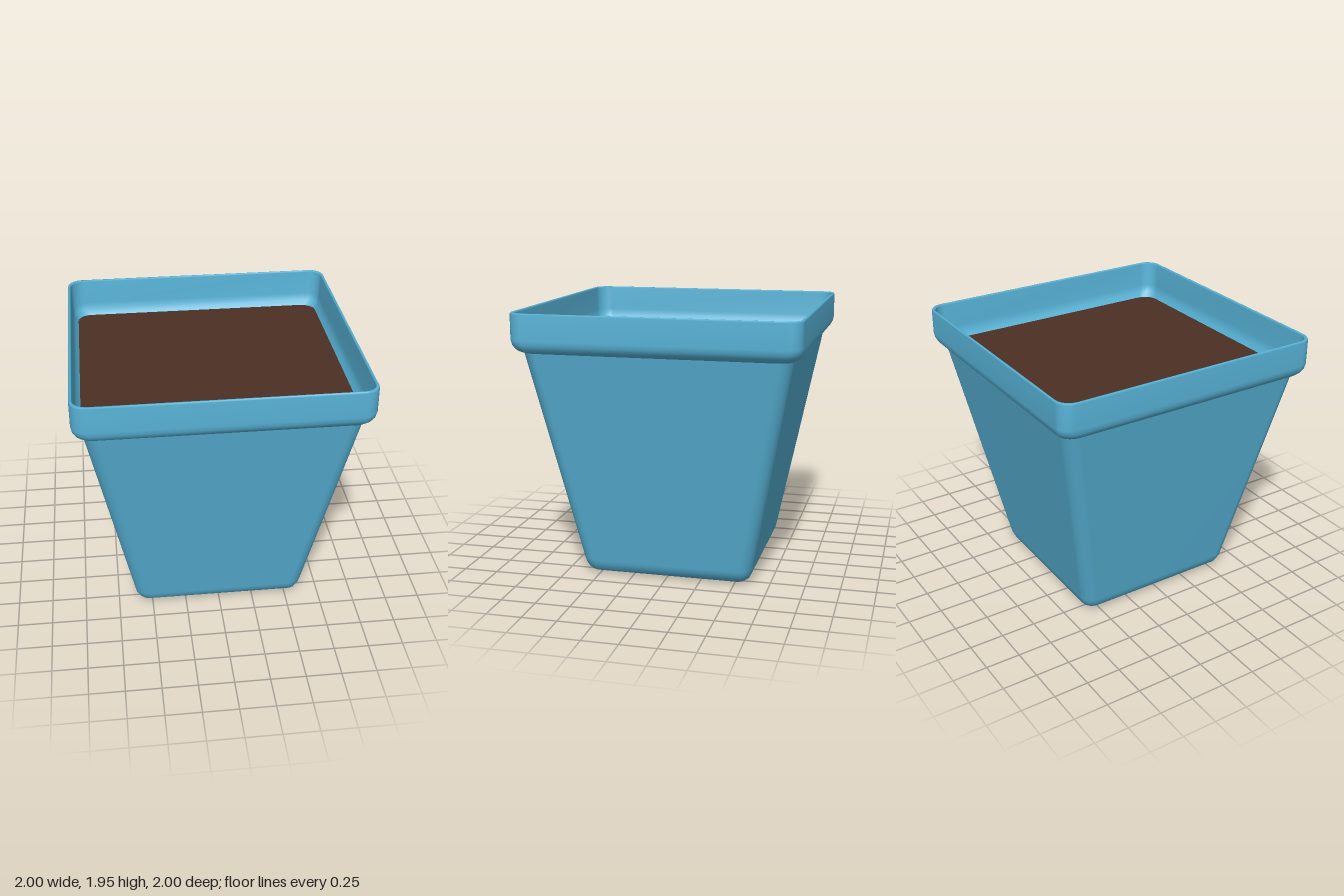
import * as THREE from 'three';

const CORNER_STEPS = 5;

// Points of a rounded square, going round from +x towards +z
function roundedSquare(half, radius) {
  const points = [];
  for (let c = 0; c < 4; c++) {
    const middle = Math.PI / 4 + c * Math.PI / 2;
    const cx = Math.sign(Math.cos(middle)) * (half - radius);
    const cz = Math.sign(Math.sin(middle)) * (half - radius);
    for (let i = 0; i <= CORNER_STEPS; i++) {
      const a = (c + i / CORNER_STEPS) * Math.PI / 2;
      points.push([cx + radius * Math.cos(a), cz + radius * Math.sin(a)]);
    }
  }
  return points;
}

// Skin a stack of rounded squares, each given as [half width, y, corner radius]
function loft(name, profile, material) {
  const positions = [];
  const index = [];
  const n = 4 * (CORNER_STEPS + 1);
  profile.forEach(([half, y, radius], k) => {
    for (const [x, z] of roundedSquare(half, radius)) positions.push(x, y, z);
    if (k === 0) return;
    for (let i = 0; i < n; i++) {
      const a = (k - 1) * n + i;
      const b = (k - 1) * n + (i + 1) % n;
      index.push(a, a + n, b, b, a + n, b + n);
    }
  });
  const geometry = new THREE.BufferGeometry();
  geometry.setAttribute('position', new THREE.Float32BufferAttribute(positions, 3));
  geometry.setIndex(index);
  geometry.computeVertexNormals();
  const mesh = new THREE.Mesh(geometry, material);
  mesh.name = name;
  return mesh;
}

export function createModel() {
  const glaze = new THREE.MeshStandardMaterial({ color: 0x57b2d6, side: THREE.DoubleSide });
  const earth = new THREE.MeshStandardMaterial({ color: 0x4c2f23, side: THREE.DoubleSide });
  const group = new THREE.Group();
  group.name = 'planter';

  // Tapered body with a rounded foot
  group.add(loft('body', [
    [0, 0, 0],
    [0.53, 0, 0.03],
    [0.57, 0.015, 0.06],
    [0.6, 0.04, 0.08],
    [0.62, 0.08, 0.09],
    [0.628, 0.11, 0.095],
    [0.932, 1.67, 0.1],
  ], glaze));

  // Thin collar: rounded underside, upright wall, lip and inner face
  group.add(loft('rim', [
    [0.935, 1.667, 0.1],
    [0.96, 1.68, 0.1],
    [0.98, 1.7, 0.1],
    [0.993, 1.725, 0.1],
    [1, 1.76, 0.1],
    [1, 1.935, 0.1],
    [0.995, 1.945, 0.1],
    [0.984, 1.945, 0.1],
    [0.978, 1.935, 0.1],
    [0.972, 1.76, 0.1],
    [0.96, 1.71, 0.1],
    [0.935, 1.672, 0.1],
  ], glaze));

  // Flat soil surface at the foot of the collar
  group.add(loft('soil', [
    [0.94, 1.673, 0.1],
    [0, 1.673, 0],
  ], earth));

  return group;
}
